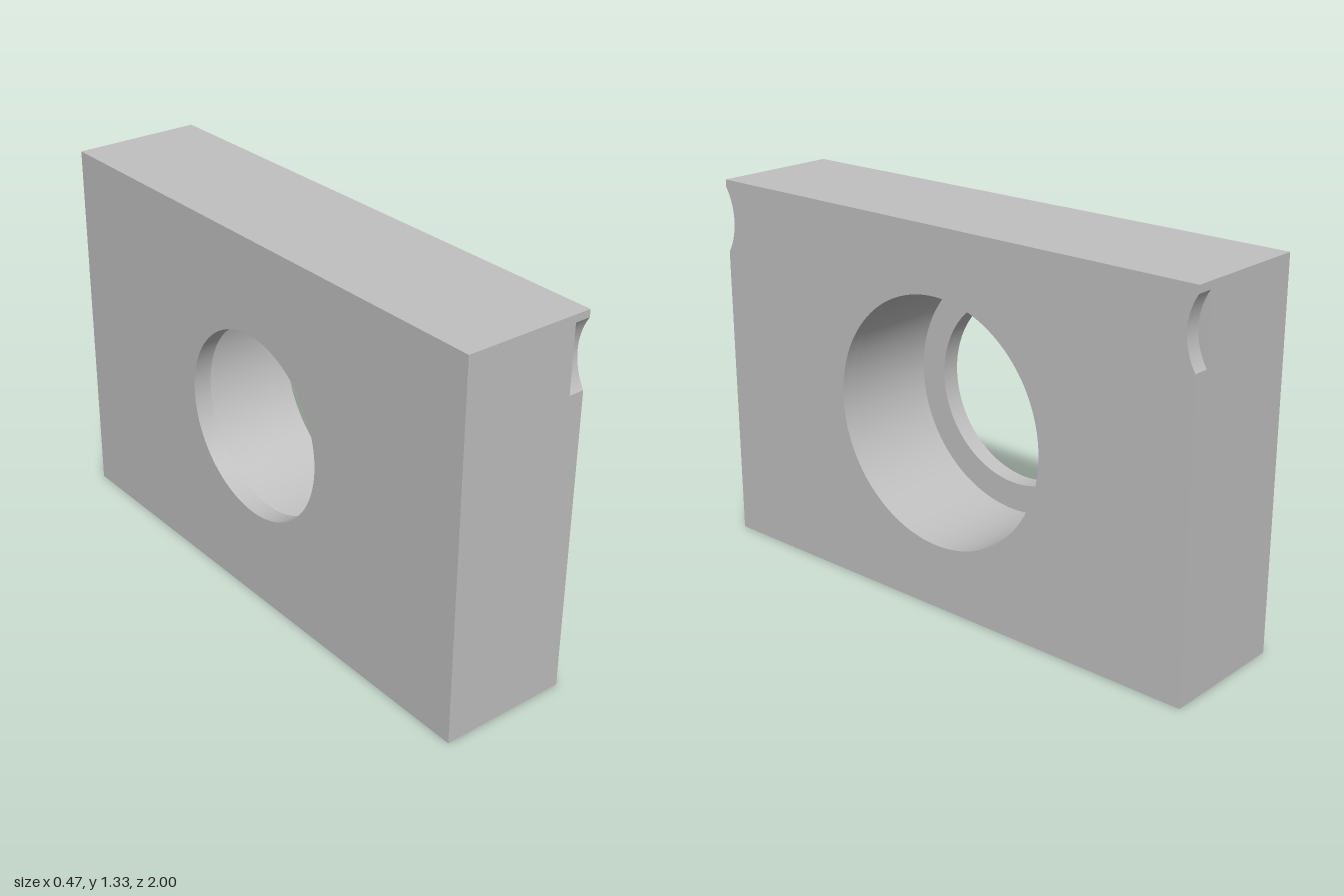
import * as THREE from 'three';
import { toCreasedNormals } from 'three/addons/utils/BufferGeometryUtils.js';

const H = 1.333, HALF_X = 0.2333, LIP = 0.0667, NOTCH_DEPTH = 0.056;
const BORE = 0.3333, COUNTERBORE = 0.435;
const NOTCH_Y = 1.19, NOTCH_R = 0.213, NOTCH_SAG = 0.035;

// Plate outline with a central round hole, optionally with an arc cut in each end
function plateShape(holeRadius, notched) {
  const s = new THREE.Shape();
  const cu = 1 + NOTCH_R - NOTCH_SAG;
  const a = Math.acos((NOTCH_R - NOTCH_SAG) / NOTCH_R);
  s.moveTo(-1, 0);
  s.lineTo(1, 0);
  if (notched) s.absarc(cu, NOTCH_Y, NOTCH_R, Math.PI + a, Math.PI - a, true);
  s.lineTo(1, H);
  s.lineTo(-1, H);
  if (notched) s.absarc(-cu, NOTCH_Y, NOTCH_R, a, -a, true);
  s.closePath();
  const hole = new THREE.Path();
  hole.absarc(0, H / 2, holeRadius, 0, Math.PI * 2, true);
  s.holes.push(hole);
  return s;
}

export function createModel() {
  const group = new THREE.Group();
  group.name = 'counterboredBlock';
  const grey = new THREE.MeshStandardMaterial({ color: 0xc0c0c0 });
  grey.name = 'grey';

  // One layer of the block between two x positions
  function layer(name, x0, x1, holeRadius, notched) {
    const geo = new THREE.ExtrudeGeometry(plateShape(holeRadius, notched), {
      depth: x1 - x0, bevelEnabled: false, curveSegments: 64,
    });
    geo.rotateY(Math.PI / 2);
    geo.translate(x0, 0, 0);
    const mesh = new THREE.Mesh(toCreasedNormals(geo, 0.3), grey);
    mesh.name = name;
    group.add(mesh);
  }

  layer('boreLip', -HALF_X, -HALF_X + LIP, BORE, false);
  layer('blockBody', -HALF_X + LIP, HALF_X - NOTCH_DEPTH, COUNTERBORE, false);
  layer('notchedFace', HALF_X - NOTCH_DEPTH, HALF_X, COUNTERBORE, true);
  return group;
}
